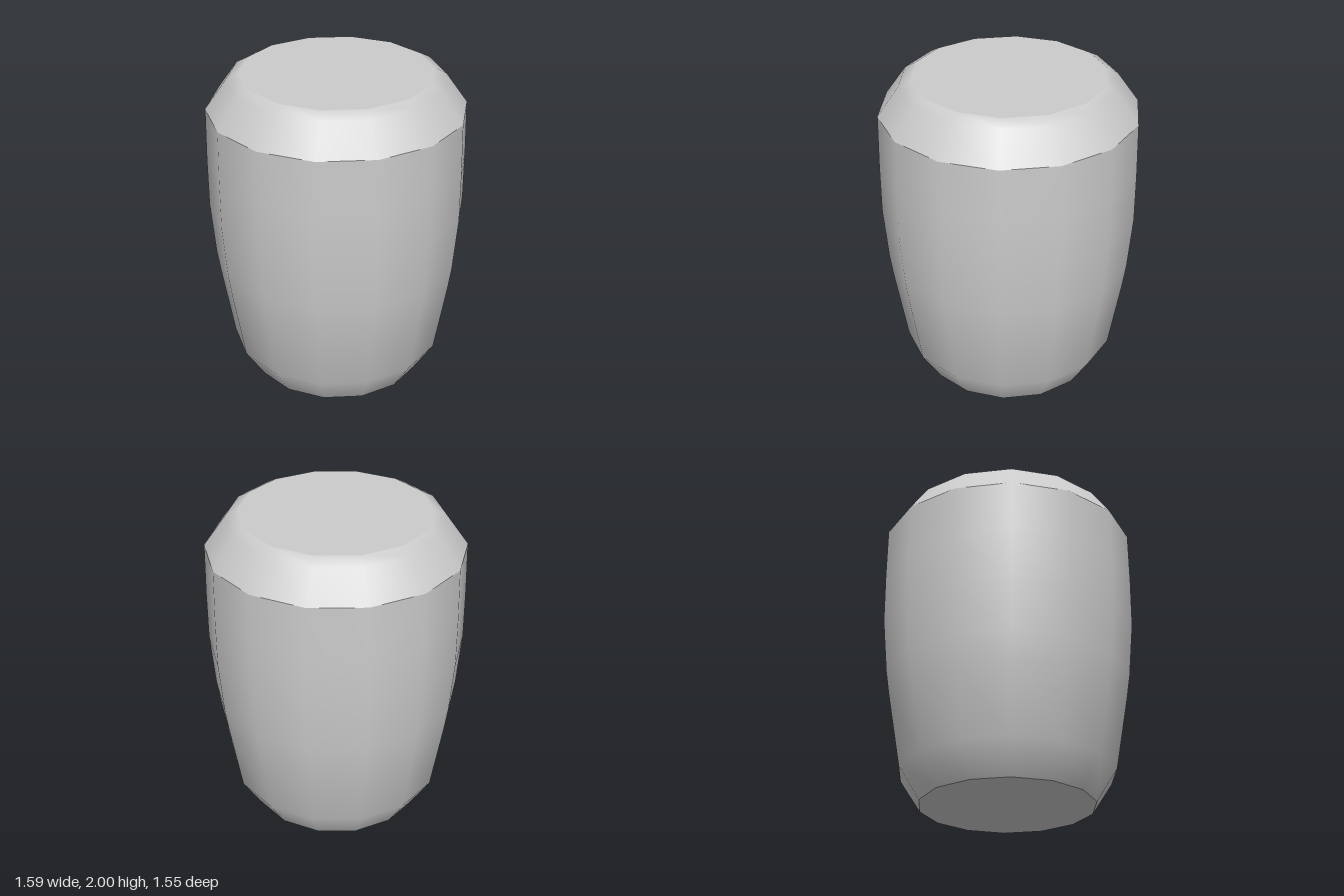
import * as THREE from 'three';

const SIDES = 14;

export function createModel() {
  const group = new THREE.Group();
  const material = new THREE.MeshStandardMaterial({ color: 0xcccccc });

  // Each turned part is smooth within itself, with a crease where parts meet.
  const turned = (name, profile) => {
    const points = profile.map(([r, y]) => new THREE.Vector2(r, y));
    const geometry = new THREE.LatheGeometry(points, SIDES);
    geometry.rotateY(Math.PI / 2); // put a corner on the x axis
    const mesh = new THREE.Mesh(geometry, material);
    mesh.name = name;
    group.add(mesh);
  };

  // Flat underside
  turned('base', [[0, 0], [0.54, 0]]);

  // Swelling side wall with a chamfered foot
  turned('body', [
    [0.54, 0], [0.668, 0.2], [0.745, 0.65], [0.767, 0.8],
    [0.796, 1.14], [0.797, 1.45], [0.792, 1.78],
  ]);

  // Sloping shoulder that rolls over into the flat top
  turned('shoulderAndTop', [
    [0.792, 1.78], [0.661, 1.965], [0.597, 2], [0.585, 2], [0, 2],
  ]);

  return group;
}
